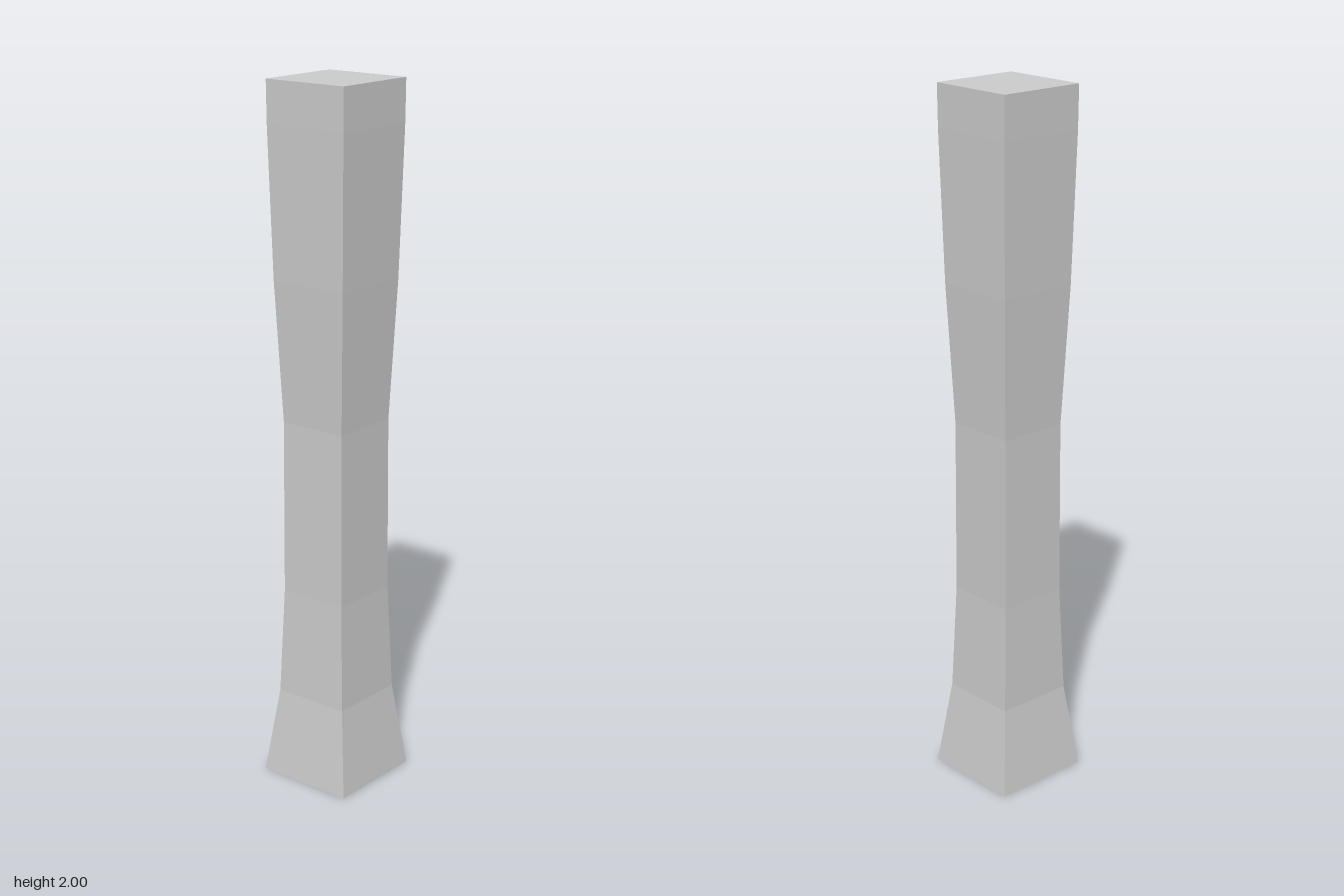
import * as THREE from 'three';

// Half-width of the square post at each height, bottom to top
const PROFILE = [
  [0.147, 0], [0.115, 0.25], [0.104, 0.56], [0.103, 1.06],
  [0.12, 1.46], [0.13, 1.88], [0.131, 2],
];

export function createModel() {
  const group = new THREE.Group();
  group.name = 'post';

  // Four-sided lathe: corner radius is half-width times root two; axis points close both ends
  const points = [
    new THREE.Vector2(0, 0),
    ...PROFILE.map(([w, y]) => new THREE.Vector2(w * Math.SQRT2, y)),
    new THREE.Vector2(0, 2),
  ];
  const geometry = new THREE.LatheGeometry(points, 4, Math.PI / 4);
  const material = new THREE.MeshStandardMaterial({ color: 0xcccccc, flatShading: true });
  const shaft = new THREE.Mesh(geometry, material);
  shaft.name = 'flaredSquareShaft';
  group.add(shaft);

  return group;
}
